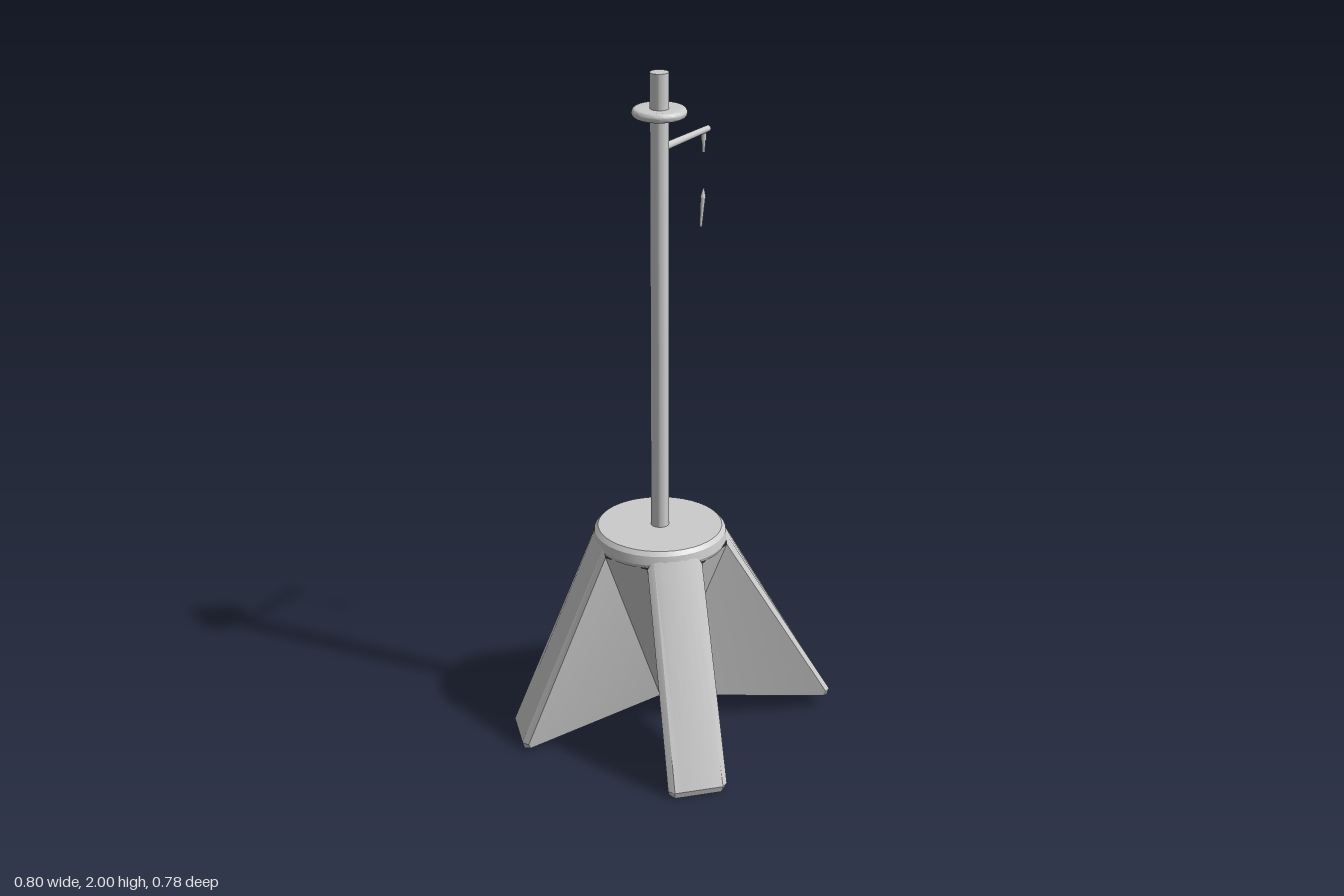
import * as THREE from 'three';
import { toCreasedNormals } from 'three/addons/utils/BufferGeometryUtils.js';

const AXIS_Z = 0.04;
const material = new THREE.MeshStandardMaterial({ color: 0xcccccc });

function part(name, geometry, parent) {
  const mesh = new THREE.Mesh(geometry, material);
  mesh.name = name;
  parent.add(mesh);
  return mesh;
}

function lathe(points, segments = 40) {
  const g = new THREE.LatheGeometry(points.map(([r, y]) => new THREE.Vector2(r, y)), segments);
  return toCreasedNormals(g, 0.5);
}

// Tapered round bar between two points
function bar(name, from, to, r0, r1, parent, sides = 12) {
  const a = new THREE.Vector3(...from), b = new THREE.Vector3(...to);
  const dir = b.clone().sub(a);
  const mesh = part(name, new THREE.CylinderGeometry(r1, r0, dir.length(), sides), parent);
  mesh.position.copy(a).add(b).multiplyScalar(0.5);
  mesh.quaternion.setFromUnitVectors(new THREE.Vector3(0, 1, 0), dir.normalize());
}

// Four splayed legs whose side walls run in to one low centre point
function legsGeometry() {
  const positions = [];
  const centre = [0, 0.085, 0];
  const tri = (...pts) => pts.forEach((p) => positions.push(...p));
  const quad = (a, b, c, d) => { tri(a, b, c); tri(a, c, d); };
  const polar = (deg, r, y) => {
    const a = THREE.MathUtils.degToRad(deg);
    return [Math.cos(a) * r, y, -Math.sin(a) * r];
  };
  // Point at a given reach and sideways offset along a leg
  const along = (deg, reach, side, y) => {
    const a = THREE.MathUtils.degToRad(deg);
    return [Math.cos(a) * reach - Math.sin(a) * side, y, -Math.sin(a) * reach - Math.cos(a) * side];
  };
  const feet = [
    { deg: 48.2, reach: 0.516, y: 0.04 },
    { deg: 131.8, reach: 0.516, y: 0.04 },
    { deg: 223.8, reach: 0.432, y: 0 },
    { deg: 316.2, reach: 0.432, y: 0 },
  ];
  const N = 6;
  const legs = feet.map(({ deg, reach, y }, i) => {
    const mid = 45 + i * 90;
    const top = [polar(mid - 24, 0.197, 0.61)];
    const low = [along(deg, reach - 0.016, -0.087, y + 0.02)];
    const sole = [along(deg, reach - 0.022, -0.083, y + 0.005)];
    for (let k = 0; k <= N; k++) {
      const s = (k / N) * 2 - 1;
      top.push(polar(mid + s * 19, 0.19, 0.64));
      low.push(along(deg, reach, s * 0.071, y + 0.02));
      sole.push(along(deg, reach - 0.006, s * 0.069, y));
    }
    top.push(polar(mid + 24, 0.197, 0.61));
    low.push(along(deg, reach - 0.016, 0.087, y + 0.02));
    sole.push(along(deg, reach - 0.022, 0.083, y + 0.005));
    return { top, low, sole };
  });
  legs.forEach(({ top, low, sole }, i) => {
    // Outer face with bevelled sides, foot lip and underside
    for (let k = 0; k < top.length - 1; k++) {
      quad(top[k], low[k], low[k + 1], top[k + 1]);
      quad(low[k], sole[k], sole[k + 1], low[k + 1]);
      tri(centre, sole[k + 1], sole[k]);
    }
    // Hollow between this leg and the next
    const next = legs[(i + 1) % legs.length];
    const e = top.length - 1;
    tri(top[e], low[e], centre);
    tri(low[e], sole[e], centre);
    tri(top[e], centre, next.top[0]);
    tri(next.top[0], centre, next.low[0]);
    tri(next.low[0], centre, next.sole[0]);
  });
  const g = new THREE.BufferGeometry();
  g.setAttribute('position', new THREE.Float32BufferAttribute(positions, 3));
  return toCreasedNormals(g, 0.35);
}

export function createModel() {
  const model = new THREE.Group();
  model.name = 'hookStand';

  // Base and pole share one vertical axis
  const stand = new THREE.Group();
  stand.name = 'stand';
  stand.position.z = AXIS_Z;
  model.add(stand);

  part('legs', legsGeometry(), stand);
  part('hub', lathe([[0, 0.61], [0.19, 0.61], [0.195, 0.622], [0.191, 0.648], [0.18, 0.66], [0, 0.66]]), stand);
  part('pole', lathe([[0, 0.64], [0.026, 0.64], [0.026, 2], [0, 2]], 32), stand);

  // Round-edged collar near the pole top
  const rim = [[0.02, 1.88], [0.066, 1.877]];
  for (let k = 0; k <= 8; k++) {
    const a = -Math.PI / 2 + (k / 8) * Math.PI;
    rim.push([0.064 + Math.cos(a) * 0.012, 1.89 + Math.sin(a) * 0.013]);
  }
  rim.splice(1, 1);
  rim.push([0.02, 1.9]);
  part('collar', lathe(rim), stand);

  // Rear arm with its peg and the small pointed rod hanging below
  const arm = new THREE.Group();
  arm.name = 'hookArm';
  model.add(arm);
  bar('arm', [0, 1.787, 0.03], [0, 1.781, -0.222], 0.011, 0.009, arm, 16);
  bar('pegCollar', [0.003, 1.775, -0.192], [0.003, 1.755, -0.192], 0.008, 0.008, arm);
  bar('peg', [0.003, 1.76, -0.192], [0.003, 1.72, -0.192], 0.006, 0.004, arm);
  bar('hangingRod', [0.003, 1.505, -0.179], [0.005, 1.59, -0.187], 0.004, 0.007, arm);
  bar('rodTip', [0.005, 1.59, -0.187], [0.005, 1.615, -0.19], 0.008, 0.002, arm);

  return model;
}
